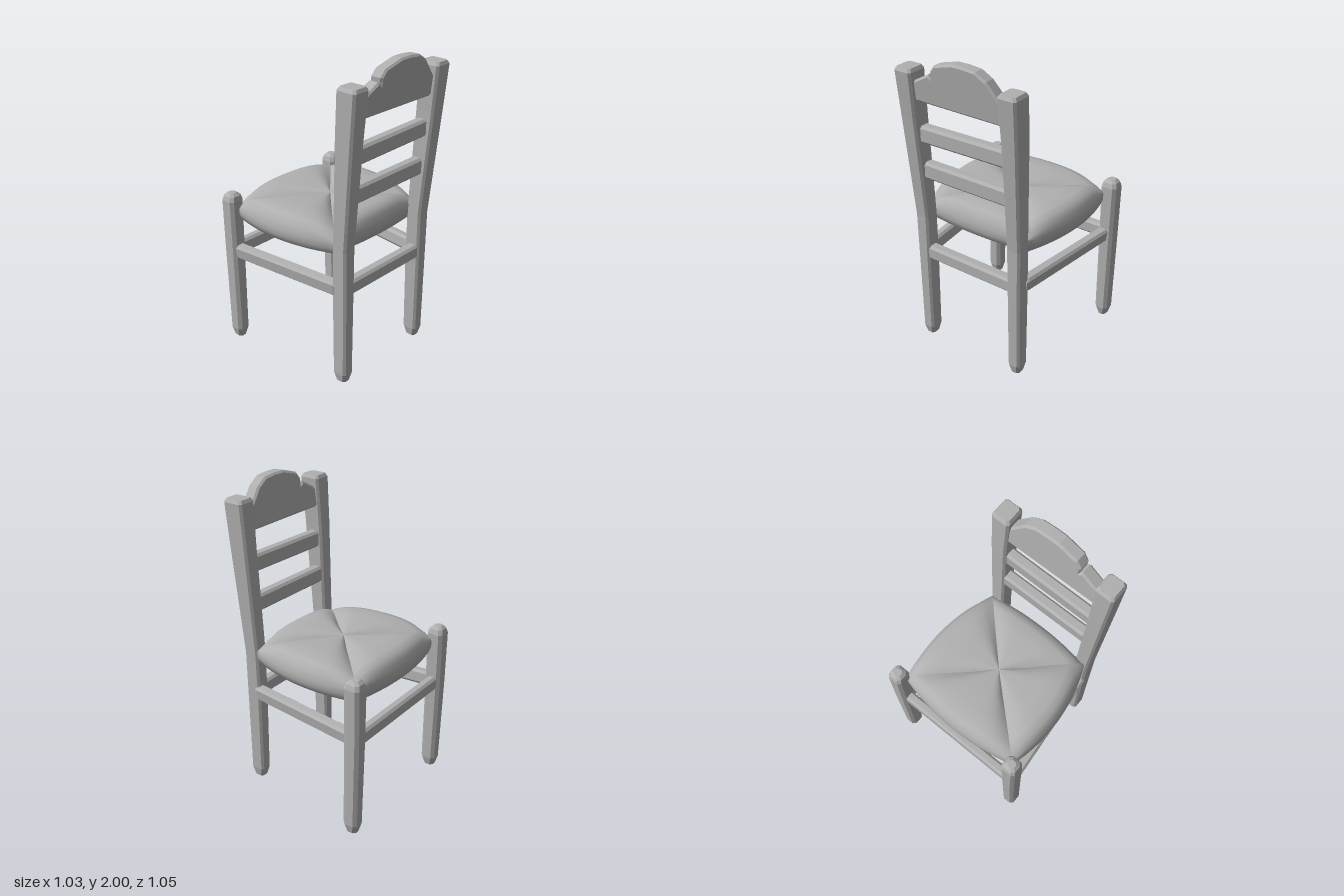
import * as THREE from 'three';

const wood = new THREE.MeshStandardMaterial({ color: 0xb0b0b0, flatShading: true });
wood.name = 'grey wood';
const cushion = new THREE.MeshStandardMaterial({ color: 0xb0b0b0 });
cushion.name = 'grey seat';

function buffer(pos, idx) {
  const g = new THREE.BufferGeometry();
  g.setAttribute('position', new THREE.Float32BufferAttribute(pos, 3));
  g.setIndex(idx);
  g.computeVertexNormals();
  return g;
}

function addMesh(group, name, geometry, material) {
  const m = new THREE.Mesh(geometry, material);
  m.name = name;
  group.add(m);
  return m;
}

// Loft of chamfered rectangles; each section is [x, y, z, width, depth]
function loft(sections, chamfer) {
  const pos = [], idx = [], n = 8;
  for (const [x, y, z, w, d] of sections) {
    const a = w / 2, b = d / 2, c = Math.min(chamfer, a * 0.6, b * 0.6);
    const loop = [[a, c - b], [a, b - c], [a - c, b], [c - a, b], [-a, b - c], [-a, c - b], [c - a, -b], [a - c, -b]];
    for (const [px, pz] of loop) pos.push(x + px, y, z + pz);
  }
  const last = (sections.length - 1) * n;
  for (let k = 0; k < last; k += n) {
    for (let i = 0; i < n; i++) {
      const a = k + i, b = k + (i + 1) % n;
      idx.push(a, a + n, b, b, a + n, b + n);
    }
  }
  for (let i = 1; i < n - 1; i++) {
    idx.push(0, i, i + 1, last, last + i + 1, last + i);
  }
  return buffer(pos, idx);
}

// Straight chamfered rail between two points
function rail(group, name, from, to, w, d) {
  const a = new THREE.Vector3(...from), b = new THREE.Vector3(...to);
  const dir = b.clone().sub(a), len = dir.length();
  const t = 0.02;
  const m = addMesh(group, name, loft([
    [0, 0, 0, w * 0.85, d * 0.85], [0, t, 0, w, d],
    [0, len - t, 0, w, d], [0, len, 0, w * 0.85, d * 0.85],
  ], 0.015), wood);
  m.position.copy(a);
  m.quaternion.setFromUnitVectors(new THREE.Vector3(0, 1, 0), dir.normalize());
}

// Woven seat: four smooth panels meeting in creases along the diagonals
function seatPanel(c0, c1, bulge) {
  const centre = [-0.01, -0.05], U = 16, pos = [], idx = [];
  const profile = [[0, 1.03], [0.15, 1.037], [0.3, 1.045], [0.6, 1.055], [0.8, 1.05], [0.9, 1.035],
    [0.97, 1.0], [1, 0.95], [1, 0.91], [0.97, 0.87], [0.9, 0.85], [0, 0.85]];
  const dx = c1[0] - c0[0], dz = c1[1] - c0[1], len = Math.hypot(dx, dz);
  profile.forEach(([s, y], v) => {
    for (let i = 0; i <= U; i++) {
      const u = i / U, e = (2 * u - 1) ** 2, out = bulge * (1 - e);
      const x = c0[0] + dx * u + (dz / len) * out;
      const z = c0[1] + dz * u - (dx / len) * out;
      const dip = v < 7 ? 0.045 * e * e * Math.min(1, s * 3) : 0;
      pos.push(centre[0] + (x - centre[0]) * s, y - dip, centre[1] + (z - centre[1]) * s);
    }
  });
  for (let v = 0; v < profile.length - 1; v++) {
    for (let i = 0; i < U; i++) {
      const a = v * (U + 1) + i, d = a + U + 1;
      if (v > 0) idx.push(a, a + 1, d);
      if (v < profile.length - 2) idx.push(a + 1, d + 1, d);
      else idx.push(a, a + 1, d);
    }
  }
  return buffer(pos, idx);
}

export function createModel() {
  const chair = new THREE.Group();
  chair.name = 'chair';

  // Short legs with tapered feet and domed tops
  for (const [name, x] of [['frontLegLeft', 0.46], ['frontLegRight', -0.46]]) {
    addMesh(chair, name, loft([
      [x, 0, -0.465, 0.06, 0.07], [x, 0.06, -0.465, 0.09, 0.1],
      [x, 0.65, -0.472, 0.1, 0.108], [x, 1.0, -0.473, 0.108, 0.108],
      [x, 1.03, -0.473, 0.09, 0.09], [x, 1.048, -0.473, 0.05, 0.05],
    ], 0.02), wood);
  }

  // Tall posts that lean back above the seat
  for (const [name, x0, x1] of [['backPostLeft', 0.33, 0.345], ['backPostRight', -0.37, -0.38]]) {
    addMesh(chair, name, loft([
      [x0, 0, 0.387, 0.06, 0.07], [x0, 0.06, 0.387, 0.083, 0.1],
      [x0, 0.6, 0.387, 0.09, 0.108], [x0, 0.92, 0.39, 0.096, 0.105],
      [x1, 1.6, 0.435, 0.112, 0.132], [x1, 1.89, 0.457, 0.125, 0.14],
      [x1, 1.91, 0.458, 0.1, 0.115],
    ], 0.014), wood);
  }

  // Stretchers between the legs
  rail(chair, 'frontStretcher', [-0.43, 0.65, -0.475], [0.43, 0.65, -0.475], 0.095, 0.065);
  rail(chair, 'backStretcher', [-0.35, 0.655, 0.395], [0.31, 0.65, 0.395], 0.095, 0.075);
  rail(chair, 'leftStretcher', [0.35, 0.65, 0.36], [0.445, 0.65, -0.44], 0.07, 0.095);
  rail(chair, 'rightStretcher', [-0.385, 0.65, 0.36], [-0.462, 0.65, -0.44], 0.07, 0.095);

  // Back slats
  rail(chair, 'lowerSlat', [-0.34, 1.245, 0.4], [0.315, 1.245, 0.4], 0.11, 0.075);
  rail(chair, 'upperSlat', [-0.34, 1.49, 0.42], [0.315, 1.5, 0.42], 0.11, 0.075);

  // Arched crest board, sheared to follow the lean of the posts
  const arch = [[-0.34, 1.71], [0.3, 1.705], [0.3, 1.83], [0.265, 1.87], [0.2, 1.95], [0.13, 1.992],
    [0.05, 2], [-0.03, 2], [-0.16, 1.965], [-0.195, 1.92], [-0.19, 1.88], [-0.21, 1.9], [-0.34, 1.83]];
  const crest = new THREE.ExtrudeGeometry(new THREE.Shape(arch.map(p => new THREE.Vector2(...p))), {
    depth: 0.06, bevelThickness: 0.012, bevelSize: 0.012, bevelOffset: -0.012, bevelSegments: 1,
  });
  const p = crest.attributes.position;
  for (let i = 0; i < p.count; i++) {
    p.setZ(i, p.getZ(i) + 0.406 + (p.getY(i) - 1.71) * 0.12);
  }
  crest.computeVertexNormals();
  addMesh(chair, 'crestBoard', crest, wood);

  // Seat panels
  const corners = [[0.425, -0.45], [0.37, 0.34], [-0.395, 0.34], [-0.445, -0.45]];
  const names = ['seatLeft', 'seatBack', 'seatRight', 'seatFront'];
  [0.065, 0.03, 0.07, 0.058].forEach((bulge, i) => {
    addMesh(chair, names[i], seatPanel(corners[i], corners[(i + 1) % 4], bulge), cushion);
  });

  return chair;
}
